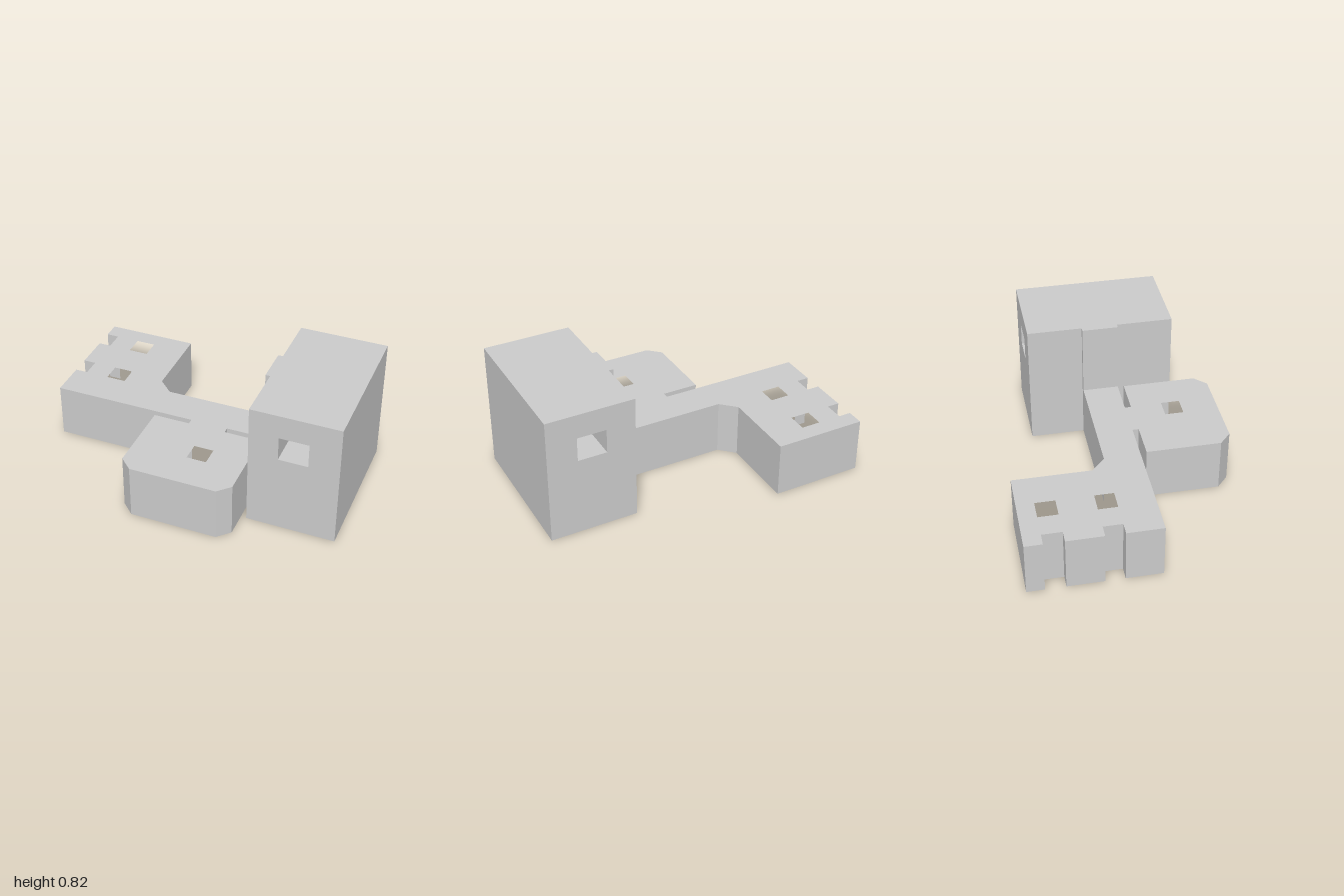
import * as THREE from 'three';

const material = new THREE.MeshStandardMaterial({ color: 0xcccccc, flatShading: true });

const LOW = 0.355;   // height of the low wings
const TALL = 0.82;   // height of the tower

function polygon(points) {
  return points.map(([x, y]) => new THREE.Vector2(x, y));
}

function rectHole(x0, x1, y0, y1) {
  return new THREE.Path(polygon([[x0, y0], [x0, y1], [x1, y1], [x1, y0]]));
}

// Floor plan in (x, z), raised from the ground to the given height
function raisePlan(name, points, holes, height) {
  const shape = new THREE.Shape(polygon(points));
  shape.holes.push(...holes);
  const geometry = new THREE.ExtrudeGeometry(shape, { depth: height, bevelEnabled: false });
  geometry.rotateX(Math.PI / 2).translate(0, height, 0);
  const mesh = new THREE.Mesh(geometry, material);
  mesh.name = name;
  return mesh;
}

export function createModel() {
  const model = new THREE.Group();
  model.name = 'building';

  // Low wings: rear wing with side notches, corridor, neck and chamfered front block
  const courts = [[-0.595, -0.47], [-0.24, -0.12]];
  const notches = courts.flatMap(([z0, z1]) => [[-1, z0], [-0.92, z0], [-0.92, z1], [-1, z1]]);
  const plan = [
    [-1, -0.705], ...notches, [-1, 0.11],
    [-0.07, 0.11], [-0.07, 0.15], [-0.305, 0.15],
    [-0.305, 0.625], [-0.225, 0.7], [0.33, 0.7], [0.405, 0.625],
    [0.405, 0.15], [0.17, 0.15], [0.17, 0.11],
    [0.41, 0.11], [0.41, -0.12],
    [-0.32, -0.12], [-0.415, -0.21], [-0.415, -0.705],
  ];
  const shafts = courts.map(([z0, z1]) => rectHole(-0.77, -0.645, z0, z1));
  shafts.push(rectHole(0.05, 0.175, 0.35, 0.47));
  model.add(raisePlan('lowWings', plan, shafts, LOW));

  // Tall strip where the corridor meets the tower
  model.add(raisePlan('towerJoint',
    [[0.41, -0.12], [0.44, -0.12], [0.44, 0.11], [0.41, 0.11]], [], TALL));

  // Tower with an opening running right through from front to back
  const face = new THREE.Shape(polygon([[0.44, 0], [1, 0], [1, TALL], [0.44, TALL]]));
  face.holes.push(rectHole(0.625, 0.81, 0.51, 0.665));
  const tower = new THREE.Mesh(
    new THREE.ExtrudeGeometry(face, { depth: 0.94, bevelEnabled: false }), material);
  tower.position.z = -0.47;
  tower.name = 'tower';
  model.add(tower);

  return model;
}
